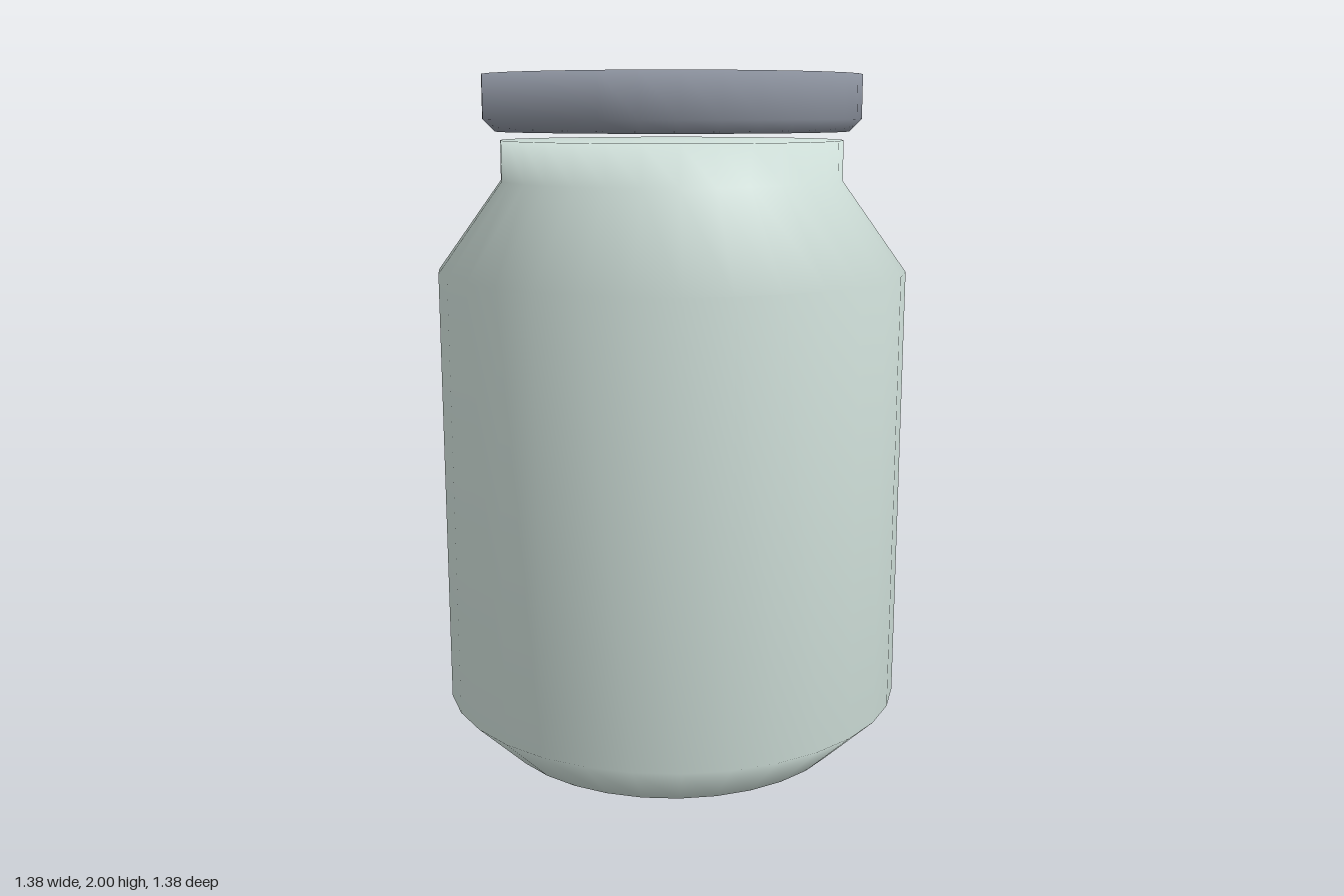
import * as THREE from 'three';

const SIDES = 32;

// Closed turned solid from a bottom-to-top profile of [radius, height]
function turned(name, profile, color) {
  const points = profile.map(([r, y]) => new THREE.Vector2(r, y));
  const mesh = new THREE.Mesh(
    new THREE.LatheGeometry(points, SIDES),
    new THREE.MeshStandardMaterial({ color })
  );
  mesh.name = name;
  return mesh;
}

export function createModel() {
  const model = new THREE.Group();
  model.name = 'jar';

  // Body: chamfered base, straight wall, sloping shoulder, short neck
  model.add(turned('body', [
    [0, 0], [0.535, 0], [0.688, 0.15], [0.688, 1.44], [0.5, 1.7], [0.5, 1.815], [0, 1.815],
  ], 0xcfdfd9));

  // Lid: wider than the neck, floating just above it, chamfered lower edge
  model.add(turned('lid', [
    [0, 1.84], [0.515, 1.84], [0.55, 1.875], [0.55, 2], [0, 2],
  ], 0x8a909c));

  return model;
}
